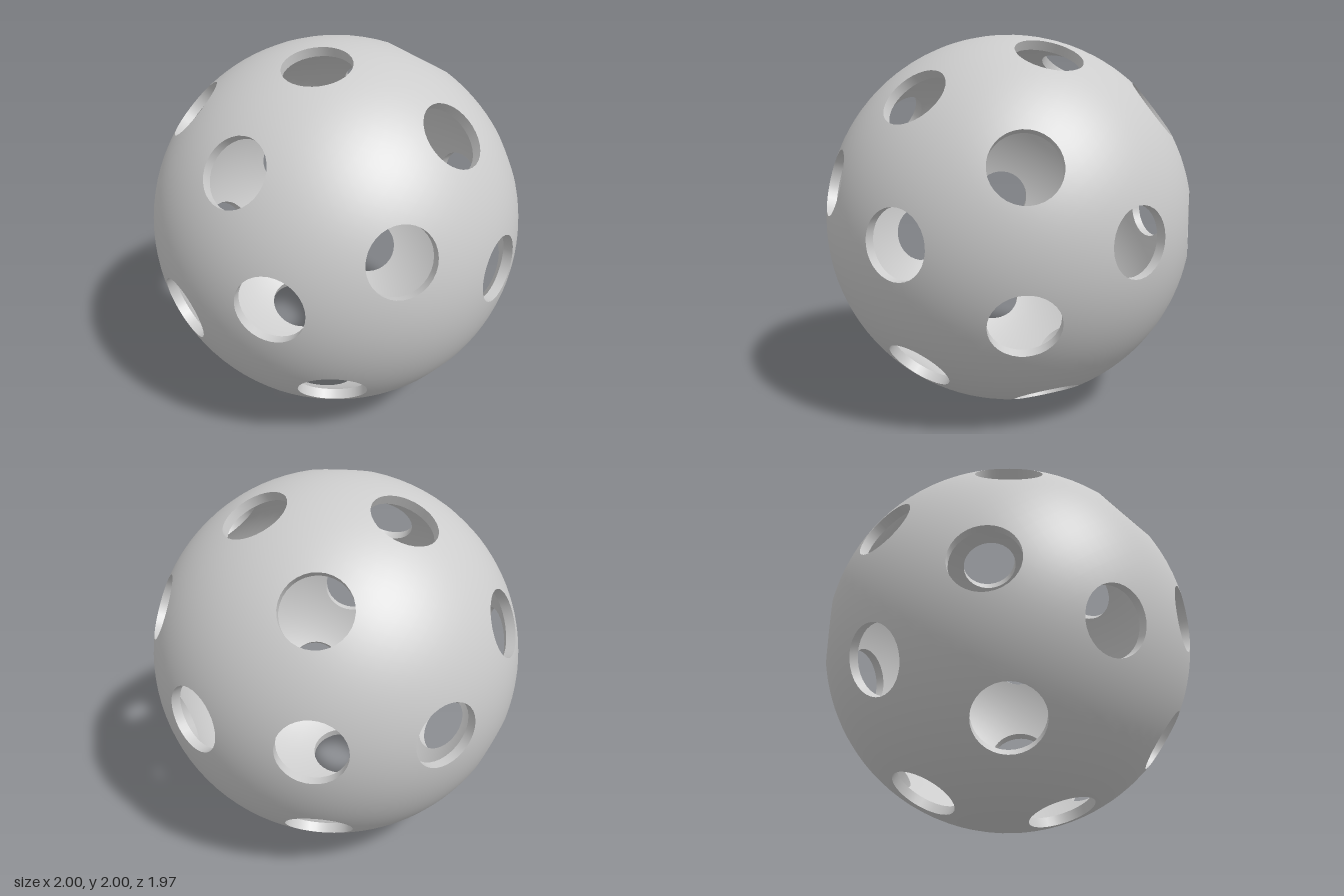
import * as THREE from 'three';
import { ConvexGeometry } from 'three/addons/geometries/ConvexGeometry.js';

const OUTER = 1, INNER = 0.95;   // shell radii
const HOLE = 0.174;              // hole radius
const SEGMENTS = 32;             // sides of each hole
const RIM_OUT = Math.sqrt(OUTER ** 2 - HOLE ** 2);
const RIM_IN = Math.sqrt(INNER ** 2 - HOLE ** 2);
const UP = new THREE.Vector3(0, 1, 0);

// Hole directions: rings around the z axis plus both poles
function holeDirections() {
  const rings = [
    [1, 1, 0], [0.79, 4, 22.5], [0.3, 8, 0],
    [-0.3, 8, 22.5], [-0.79, 4, 0], [-1, 1, 0],
  ];
  const dirs = [];
  for (const [z, count, start] of rings) {
    const r = Math.sqrt(1 - z * z);
    for (let i = 0; i < count; i++) {
      const a = THREE.MathUtils.degToRad(start + (360 / count) * i);
      dirs.push(new THREE.Vector3(r * Math.cos(a), r * Math.sin(a), z));
    }
  }
  return dirs;
}

// Triangles of a unit sphere that follow the hole rims, with the hole caps left out
function perforatedTriangles(dirs) {
  const points = [];
  for (const d of dirs) {
    const q = new THREE.Quaternion().setFromUnitVectors(UP, d);
    points.push(d.clone());
    for (let i = 0; i < SEGMENTS; i++) {
      const a = (i / SEGMENTS) * Math.PI * 2;
      points.push(new THREE.Vector3(HOLE * Math.sin(a), RIM_OUT, HOLE * Math.cos(a)).applyQuaternion(q));
    }
  }
  // evenly spread points between the holes
  const clear = Math.cos(Math.asin(HOLE) + 0.03);
  const count = 3000, golden = Math.PI * (3 - Math.sqrt(5));
  for (let i = 0; i < count; i++) {
    const y = 1 - (2 * i + 1) / count, r = Math.sqrt(1 - y * y);
    const p = new THREE.Vector3(r * Math.cos(i * golden), y, r * Math.sin(i * golden));
    if (dirs.every((d) => d.dot(p) < clear)) points.push(p);
  }
  const pos = new ConvexGeometry(points).attributes.position;
  const triangles = [];
  for (let i = 0; i < pos.count; i += 3) {
    const tri = [0, 1, 2].map((k) => new THREE.Vector3().fromBufferAttribute(pos, i + k));
    const isCap = tri.some((p) => dirs.some((d) => d.dot(p) > 0.999));
    if (!isCap) triangles.push(tri);
  }
  return triangles;
}

// Smooth spherical surface from a list of corners
function surface(corners, side) {
  const geometry = new THREE.BufferGeometry().setFromPoints(corners);
  const normals = corners.map((p) => p.clone().normalize().multiplyScalar(side));
  geometry.setAttribute('normal',
    new THREE.Float32BufferAttribute(normals.flatMap((n) => n.toArray()), 3));
  return geometry;
}

export function createModel() {
  const model = new THREE.Group();
  model.name = 'perforatedBall';
  const plastic = new THREE.MeshStandardMaterial({ color: 0xcccccc });
  plastic.name = 'lightGreyPlastic';

  const dirs = holeDirections();
  const triangles = perforatedTriangles(dirs);

  const add = (name, geometry, parent) => {
    const mesh = new THREE.Mesh(geometry, plastic);
    mesh.name = name;
    parent.add(mesh);
    return mesh;
  };

  // Inner shell: rims slide straight along the hole axis, the rest shrinks
  const toInner = (p) => {
    const d = dirs.find((dir) => dir.dot(p) > RIM_OUT - 1e-4);
    return d ? p.clone().addScaledVector(d, RIM_IN - RIM_OUT) : p.clone().multiplyScalar(INNER);
  };

  const ball = new THREE.Group();
  ball.name = 'ball';
  ball.position.y = 1;
  model.add(ball);
  add('outerShell', surface(triangles.flat(), 1), ball);
  add('innerShell', surface(triangles.flatMap(([a, b, c]) => [a, c, b].map(toInner)), -1), ball);

  // Hole walls, facing their axis
  const wall = new THREE.LatheGeometry(
    [new THREE.Vector2(HOLE, RIM_OUT), new THREE.Vector2(HOLE, RIM_IN)], SEGMENTS);
  for (const d of dirs) {
    add('holeWall', wall, ball).quaternion.setFromUnitVectors(UP, d);
  }
  return model;
}
